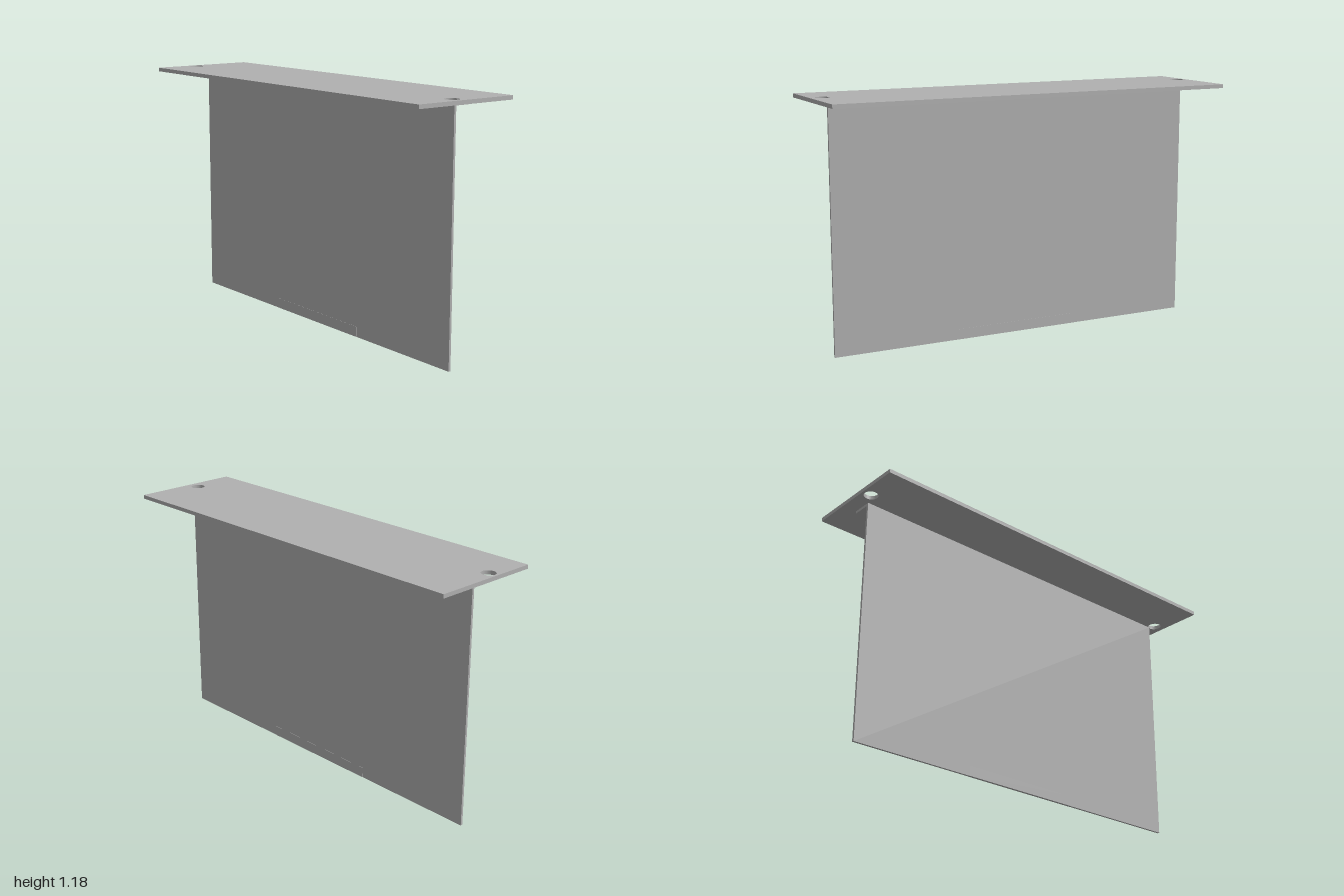
import * as THREE from 'three';

export function createModel() {
  const model = new THREE.Group();
  const grey = new THREE.MeshStandardMaterial({ color: 0xb0b0b0 });
  grey.name = 'grey';

  const add = (name, geometry, x, y, z) => {
    const mesh = new THREE.Mesh(geometry, grey);
    mesh.name = name;
    mesh.position.set(x, y, z);
    model.add(mesh);
  };

  // a box given by its lower and upper limits in x and y, centred on z
  const addBox = (name, x0, x1, y0, y1, length) => add(
    name, new THREE.BoxGeometry(x1 - x0, y1 - y0, length), (x0 + x1) / 2, (y0 + y1) / 2, 0);

  const top = 1.181, underside = 1.1625, halfWidth = 0.267;

  // top plate with a round hole near each end
  const plate = new THREE.Shape([
    new THREE.Vector2(-halfWidth, -1), new THREE.Vector2(halfWidth, -1),
    new THREE.Vector2(halfWidth, 1), new THREE.Vector2(-halfWidth, 1),
  ]);
  for (const [x, z] of [[-0.063, -0.955], [-0.032, 0.942]]) {
    plate.holes.push(new THREE.Path().absarc(x, z, 0.033, 0, Math.PI * 2, true));
  }
  const plateGeometry = new THREE.ExtrudeGeometry(plate, {
    depth: top - underside, bevelEnabled: false, curveSegments: 32,
  });
  plateGeometry.rotateX(Math.PI / 2);
  add('topPlate', plateGeometry, 0, top, 0);

  // upright sheet and the flange that fixes it under the plate
  addBox('uprightPanel', -0.0055, 0.0055, 0, underside, 1.86);
  addBox('mountingFlange', 0.0055, 0.089, 1.15, underside, 1.86);

  // thin strip wrapped round the middle of the lower edge
  addBox('lowerEdgeStrip', -0.0065, 0.0065, 0, 0.05, 0.62);

  return model;
}
